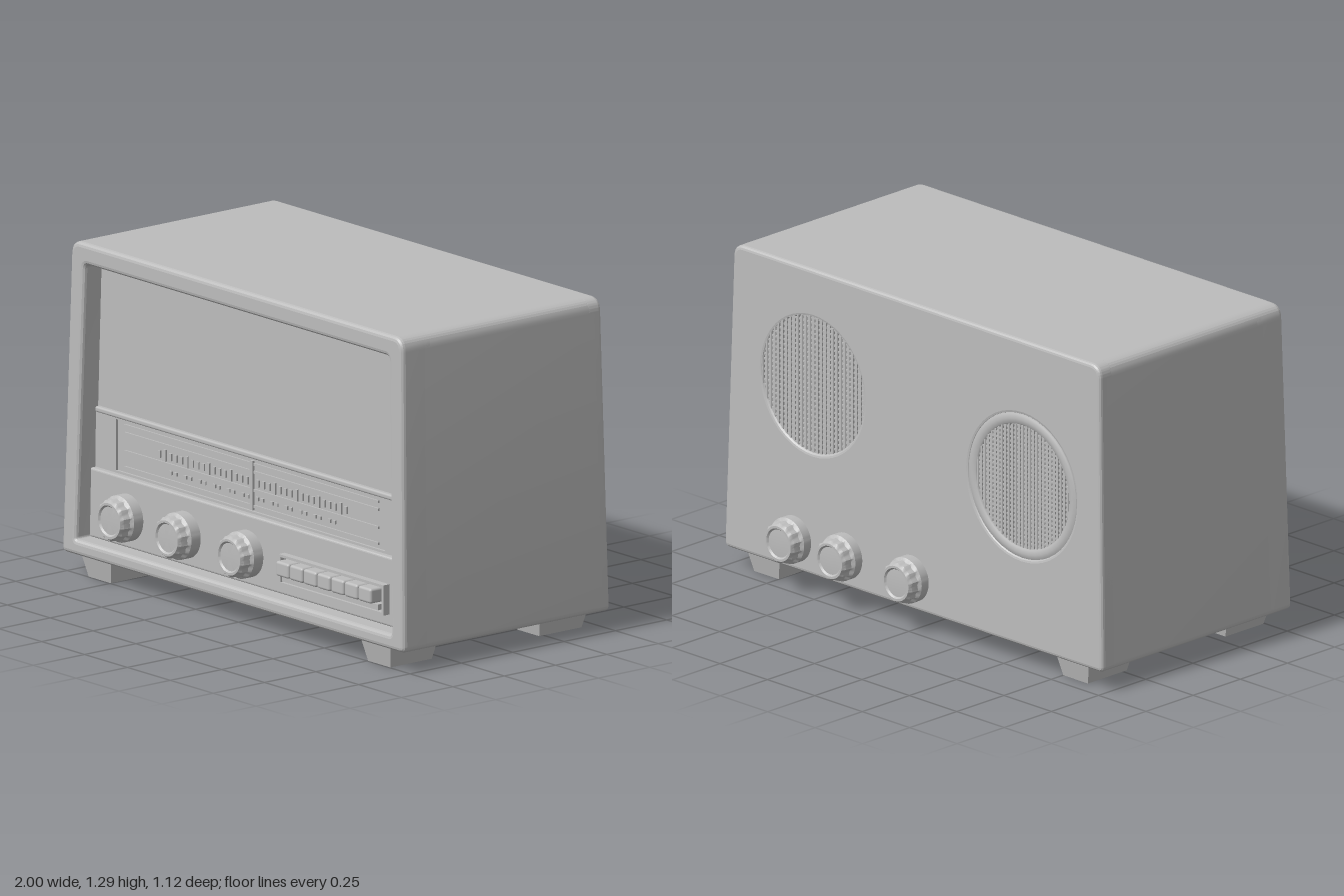
import * as THREE from 'three';
import { mergeGeometries, toCreasedNormals } from 'three/addons/utils/BufferGeometryUtils.js';
import { RoundedBoxGeometry } from 'three/addons/geometries/RoundedBoxGeometry.js';

const grey = new THREE.MeshStandardMaterial({ color: 0xbcbcbc });
grey.name = 'plain grey';

// four-sided outline with rounded corners: half widths at bottom and top, corner radii
function outline(Target, wb, wt, y0, y1, rb, rt) {
  const s = new Target();
  const corner = (px, py, cx, cy, qx, qy) => { s.lineTo(px, py); s.quadraticCurveTo(cx, cy, qx, qy); };
  s.moveTo(-wb + rb, y0);
  corner(wb - rb, y0, wb, y0, wb, y0 + rb);
  corner(wt, y1 - rt, wt, y1, wt - rt, y1);
  corner(-wt + rt, y1, -wt, y1, -wt, y1 - rt);
  corner(-wb, y0 + rb, -wb, y0, -wb + rb, y0);
  return s;
}

// extrude a shape between two depths with softened rims that stay inside the outline
function slab(shape, z0, z1, bevel, curveSegments = 8) {
  const g = new THREE.ExtrudeGeometry(shape, {
    depth: z1 - z0 - 2 * bevel, bevelEnabled: true, bevelSize: bevel, bevelThickness: bevel,
    bevelOffset: -bevel, bevelSegments: 3, curveSegments,
  });
  return g.translate(0, 0, z0 + bevel);
}

// cabinet gets slightly shallower towards its top
const lean = (y) => 1 - 0.03 * (y - 0.08);
function taper(g) {
  const p = g.attributes.position;
  for (let i = 0; i < p.count; i++) p.setZ(i, p.getZ(i) * lean(p.getY(i)));
  return g;
}

const box = (x, y, z, w, h, d) => new THREE.BoxGeometry(w, h, d).translate(x, y, z);

// knob with a skirt, fluted grip and dished cap, pointing along +y
function knobGeometry(length) {
  const profile = [[0.09, 0], [0.09, length - 0.05], [0.079, length - 0.04], [0.077, length - 0.012],
    [0.069, length], [0.06, length], [0.054, length - 0.007], [0, length - 0.003]];
  const g = new THREE.LatheGeometry(profile.map(([r, y]) => new THREE.Vector2(r, y)), 56);
  const p = g.attributes.position;
  for (let i = 0; i < p.count; i++) {
    const x = p.getX(i), z = p.getZ(i), r = Math.hypot(x, z);
    if (r < 0.074 || r > 0.082) continue;
    const k = 1 + 0.04 * Math.cos(14 * Math.atan2(x, z));
    p.setX(i, x * k);
    p.setZ(i, z * k);
  }
  return toCreasedNormals(g, 0.6);
}

export function createModel() {
  const model = new THREE.Group();
  const add = (name, geometry) => {
    const m = new THREE.Mesh(geometry, grey);
    m.name = name;
    model.add(m);
    return m;
  };
  const cabinetOutline = () => outline(THREE.Shape, 0.998, 0.968, 0.08, 1.287, 0.025, 0.055);
  const crease = (g) => toCreasedNormals(g, 0.22);

  // cabinet: solid core, front frame and back panel overlap into one shell
  add('cabinetCore', crease(taper(slab(cabinetOutline(), -0.455, 0.43, 0.015))));

  const frame = cabinetOutline();
  frame.holes.push(outline(THREE.Path, 0.92, 0.888, 0.14, 1.205, 0.01, 0.02));
  add('frontFrame', crease(taper(slab(frame, 0.37, 0.53, 0.018))));

  const speakers = [{ x: 0.54, y: 0.83, r: 0.265, ring: false }, { x: -0.565, y: 0.71, r: 0.28, ring: true }];
  const back = cabinetOutline();
  for (const s of speakers) {
    const hole = new THREE.Path();
    hole.absarc(s.x, s.y, s.r, 0, Math.PI * 2, true);
    back.holes.push(hole);
  }
  add('backPanel', crease(taper(slab(back, -0.477, -0.4, 0.015, 24))));

  // rear speaker openings with woven mesh
  for (const s of speakers) {
    const r = s.ring ? s.r - 0.035 : s.r + 0.01, z = -0.467 * lean(s.y);
    add('speakerBacking', new THREE.CylinderGeometry(s.r + 0.005, s.r + 0.005, 0.03, 48)
      .rotateX(Math.PI / 2).translate(s.x, s.y, z + 0.015));
    const bars = [], n = 13;
    for (let i = -n; i <= n; i++) {
      const t = (i / n) * r * 0.97, len = 2 * Math.sqrt(r * r - t * t) * 0.99;
      bars.push(box(s.x, s.y + t, z, len, 0.008, 0.008));
      bars.push(box(s.x + t, s.y, z, 0.008, len, 0.012));
    }
    add('speakerMesh', mergeGeometries(bars));
    if (s.ring) {
      const ring = new THREE.TorusGeometry(s.r - 0.015, 0.025, 8, 48).scale(1, 1, 0.45);
      add('speakerRing', ring.translate(s.x, s.y, z));
    }
  }

  // recessed cloth panel with a lip below it
  add('speakerCloth', crease(slab(outline(THREE.Shape, 0.9, 0.88, 0.64, 1.195, 0.005, 0.005), 0.39, 0.436, 0.006)));
  add('clothLip', new RoundedBoxGeometry(1.79, 0.022, 0.05, 2, 0.008).translate(0, 0.638, 0.43));

  // lower control panel, stepping back to the dial surround
  add('controlPanel', crease(slab(outline(THREE.Shape, 0.917, 0.91, 0.143, 0.41, 0.005, 0.005), 0.39, 0.463, 0.008)));
  add('dialSurround', mergeGeometries([
    box(-0.85, 0.52, 0.42, 0.12, 0.23, 0.036), box(0.845, 0.52, 0.42, 0.13, 0.23, 0.036),
    box(-0.005, 0.412, 0.42, 1.57, 0.014, 0.036), box(-0.005, 0.624, 0.42, 1.57, 0.014, 0.036),
  ]));
  add('dialPlate', box(-0.005, 0.518, 0.41, 1.57, 0.2, 0.036));

  // tuning scale: rails, rows of ticks and a pointer
  const scale = [0.6, 0.57, 0.5, 0.438].map((y) => box(-0.005, y, 0.43, 1.48, 0.01, 0.01));
  for (let i = -17; i <= 17; i++) {
    if (i === 0) continue;
    const h = i % 4 === 0 ? 0.045 : 0.028;
    scale.push(box(i * 0.032, 0.53, 0.43, 0.014, h, 0.01));
    if (i % 3 !== 0) scale.push(box(i * 0.028, 0.47, 0.43, 0.016, 0.014, 0.01));
  }
  scale.push(box(0, 0.518, 0.432, 0.016, 0.19, 0.014));
  add('tuningScale', mergeGeometries(scale));

  // front and rear knobs
  const frontKnob = knobGeometry(0.099).rotateX(Math.PI / 2);
  for (const x of [-0.69, -0.355, 0.01]) add('frontKnob', frontKnob).position.set(x, 0.262, 0.459);
  const rearKnob = knobGeometry(0.092).rotateX(-Math.PI / 2);
  for (const x of [0.01, 0.36, 0.63]) add('rearKnob', rearKnob).position.set(x, 0.203, -0.47);

  // push buttons in a raised surround
  const surround = [box(0.53, 0.302, 0.475, 0.61, 0.01, 0.035), box(0.53, 0.195, 0.475, 0.61, 0.01, 0.035)];
  for (const x of [0.23, 0.83]) surround.push(box(x, 0.2485, 0.475, 0.01, 0.117, 0.035));
  surround.push(box(0.53, 0.218, 0.475, 0.56, 0.022, 0.045));
  add('buttonSurround', mergeGeometries(surround));
  for (let i = 0; i < 7; i++) {
    add('pushButton', new RoundedBoxGeometry(0.076, 0.058, 0.075, 2, 0.01))
      .position.set(0.29 + i * 0.08, 0.264, 0.494);
  }

  // tapered feet
  for (const sx of [-1, 1]) {
    for (const [zOuter, zInner] of [[0.515, 0.275], [-0.455, -0.21]]) {
      const foot = new THREE.BoxGeometry(0.18, 0.1, Math.abs(zOuter - zInner));
      const p = foot.attributes.position;
      for (let i = 0; i < p.count; i++) {
        if (p.getY(i) > 0) continue;
        p.setX(i, p.getX(i) * 0.72);
        p.setZ(i, p.getZ(i) * 0.84);
      }
      foot.computeVertexNormals();
      add('foot', foot).position.set(sx * 0.815, 0.05, (zOuter + zInner) / 2);
    }
  }
  return model;
}
